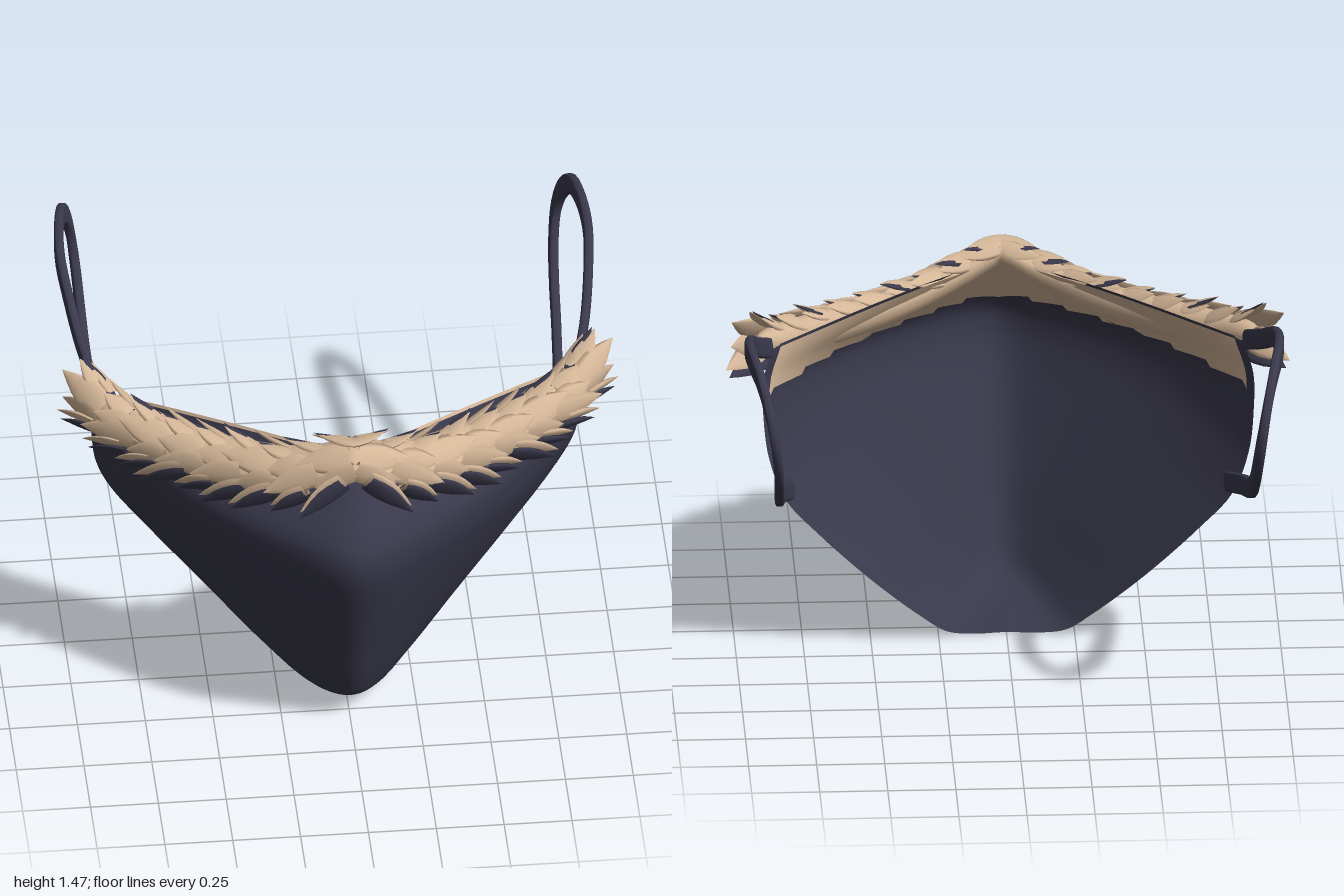
import * as THREE from 'three';
import { mergeGeometries } from 'three/addons/utils/BufferGeometryUtils.js';

const V = (x, y, z) => new THREE.Vector3(x, y, z);
const curve = (pts) => new THREE.CatmullRomCurve3(pts.map((p) => V(...p)));

// Smooth surface from a function of a, b in 0..1
function surface(fn, na, nb) {
  const pos = [], idx = [];
  for (let i = 0; i <= na; i++) {
    for (let j = 0; j <= nb; j++) pos.push(...fn(i / na, j / nb).toArray());
  }
  for (let i = 0; i < na; i++) {
    for (let j = 0; j < nb; j++) {
      const a = i * (nb + 1) + j, b = a + nb + 1;
      idx.push(a, b, a + 1, b, b + 1, a + 1);
    }
  }
  const g = new THREE.BufferGeometry();
  g.setAttribute('position', new THREE.Float32BufferAttribute(pos, 3));
  g.setIndex(idx);
  g.computeVertexNormals();
  return g;
}

// Mask shell: centre ridge and side edge, paired from chin to top
const ridge = curve([[0, 0, 0.19], [0, 0.04, 0.4], [0, 0.1, 0.55], [0, 0.22, 0.625], [0, 0.42, 0.71], [0, 0.66, 0.81],
  [0, 0.84, 0.88], [0, 0.92, 0.895], [0, 1.0, 0.885], [0, 1.13, 0.79], [0, 1.28, 0.655]]);
const edge = curve([[0.01, 0, 0.19], [0.13, 0, 0.18], [0.22, 0.02, 0.16], [0.31, 0.09, 0.13], [0.5, 0.28, 0.04], [0.7, 0.5, -0.03],
  [0.82, 0.65, -0.06], [0.88, 0.8, -0.03], [0.9, 0.95, 0.01], [0.9, 1.08, 0.05], [0.86, 1.2, 0.09]]);

function shellPoint(s, v) {
  const c = ridge.getPoint(v), e = edge.getPoint(v), k = Math.abs(s);
  const r = Math.min(0.6, 0.11 / e.x); // ridge rounding, relative to the row's width
  const h = (Math.sqrt(k * k + r * r) - r) / (Math.sqrt(1 + r * r) - r);
  // the full cheek straightens towards the top edge
  const f = THREE.MathUtils.lerp(0.7 * h + 0.3 * k ** 4, 0.5 * h + 0.5 * k, THREE.MathUtils.smoothstep(v, 0.82, 1));
  return V(e.x * s, c.y + (e.y - c.y) * k * k * (1.6 - 0.6 * k), c.z + (e.z - c.z) * f);
}

// Fur path with a local frame: n points out of the mask, up leans back near the nose
const furPath = curve([[0, 1.3, 0.69], [0.2, 1.22, 0.625], [0.4, 1.175, 0.51], [0.6, 1.165, 0.38], [0.8, 1.175, 0.225], [0.91, 1.215, 0.085]]);
function furFrame(q) {
  const k = Math.abs(q), sgn = q < 0 ? -1 : 1;
  const p = furPath.getPointAt(k), t = furPath.getTangentAt(k);
  const n = V(-t.z * Math.min(1, k * 8), 0, t.x).normalize();
  const up = V(0, 1, 0).addScaledVector(n, -0.65 * (1 - k)).normalize();
  for (const w of [p, t, n, up]) w.x *= sgn;
  return { p, t, n, up };
}

// One flat, curved, pointed lock of fur
function lock(base, dir, out, length, width) {
  const d = dir.clone().normalize();
  const r = out.clone().addScaledVector(d, -out.dot(d)).normalize();
  const side = d.clone().cross(r);
  return surface((a, b) => {
    const w = width * Math.sin(Math.PI * (0.3 + 0.7 * a)), ang = b * Math.PI * 2;
    return base.clone()
      .addScaledVector(d, length * (a - 0.25))
      .addScaledVector(r, 0.015 * a * a + 0.3 * w * Math.sin(ang))
      .addScaledVector(side, w * Math.cos(ang));
  }, 5, 8);
}

// A row of locks around the fur band at the given angle, on both sides
function lockRow(count, angle, length, width, lift, shift, from, to) {
  const list = [];
  for (const sgn of [-1, 1]) {
    for (let i = 0; i < count; i++) {
      const { p, t, n, up } = furFrame(sgn * (from + (to - from) * i / (count - 1)));
      const wob = Math.sin(i * 2.4 + angle * 5);
      const a = angle + 0.12 * wob;
      const out = n.clone().multiplyScalar(Math.cos(a)).addScaledVector(up, Math.sin(a));
      const base = p.clone().addScaledVector(n, 0.065 * Math.cos(a) + shift[0]).addScaledVector(up, 0.075 * Math.sin(a) + shift[1]);
      const dir = t.clone().addScaledVector(up, lift * (1 + 0.3 * wob)).addScaledVector(n, 0.08);
      list.push(lock(base, dir, out, length * (1 + 0.18 * wob), width));
    }
  }
  return list;
}

export function createModel() {
  const model = new THREE.Group();
  const fabric = new THREE.MeshStandardMaterial({ color: 0x3a394c, side: THREE.DoubleSide });
  fabric.name = 'dark fabric';
  const fur = new THREE.MeshStandardMaterial({ color: 0xd4b698, side: THREE.DoubleSide });
  fur.name = 'tan fur';
  const add = (name, geometry, material) => {
    const m = new THREE.Mesh(geometry, material);
    m.name = name;
    model.add(m);
  };

  add('maskShell', surface((a, b) => shellPoint(a * 2 - 1, b), 48, 50), fabric);

  // Flat ear loop on each side, with a squarish section
  const loop = curve([[0.88, 1.2, 0.08], [0.928, 1.28, -0.1], [0.96, 1.375, -0.3], [0.972, 1.42, -0.45], [0.963, 1.435, -0.6],
    [0.942, 1.415, -0.73], [0.915, 1.33, -0.82], [0.893, 1.21, -0.855], [0.88, 1.09, -0.81], [0.873, 0.98, -0.71],
    [0.867, 0.885, -0.56], [0.847, 0.785, -0.3], [0.805, 0.685, -0.04]]);
  const square = (x) => Math.sign(x) * Math.sqrt(Math.abs(x));
  for (const sgn of [1, -1]) {
    add(sgn > 0 ? 'leftEarLoop' : 'rightEarLoop', surface((a, b) => {
      const p = loop.getPointAt(a), t = loop.getTangentAt(a), ang = b * Math.PI * 2;
      p.addScaledVector(V(0, -t.z, t.y).normalize(), 0.038 * square(Math.cos(ang)));
      p.x = (p.x + 0.018 * square(Math.sin(ang))) * sgn;
      return p;
    }, 64, 16), fabric);
  }

  // Rounded fur band along the top edge
  add('furBand', surface((a, b) => {
    const q = a * 2 - 1, ang = b * Math.PI * 2;
    const { p, n, up } = furFrame(q);
    const r = Math.sqrt(1 - 0.85 * Math.pow(Math.abs(q), 8));
    return p.addScaledVector(n, 0.07 * r * Math.cos(ang))
      .addScaledVector(up, (0.065 + 0.015 * Math.min(1, Math.abs(q) * 4)) * r * Math.sin(ang));
  }, 60, 14), fur);

  // Flat fur lining inside the mask with a jagged lower edge
  add('furLining', surface((a, b) => {
    const q = a * 2 - 1, saw = (Math.abs(q) * 7) % 1;
    const low = 0.85 + 0.022 * saw;
    return shellPoint(q * 0.985, low + (1 - low) * b).addScaledVector(furFrame(q).n, -0.018);
  }, 112, 5), fur);

  // Layered locks, sweeping outward from the nose
  add('furLocks', mergeGeometries([
    ...lockRow(9, 1.9, 0.15, 0.035, 0.25, [0, 0], 0.05, 0.94),
    ...lockRow(9, 1.3, 0.15, 0.042, 0.32, [0, 0], 0.02, 0.95),
    ...lockRow(8, 0.55, 0.19, 0.055, 0.12, [0, 0], 0.06, 0.94),
    ...lockRow(8, -0.1, 0.19, 0.055, -0.12, [0, 0], 0.03, 0.94),
    ...lockRow(9, -0.85, 0.18, 0.05, -0.3, [0.015, 0], 0.07, 0.95),
  ]), fur);

  // Dark under-locks showing as a thin edge beneath and behind the tips
  add('underLocks', mergeGeometries([
    ...lockRow(9, -0.9, 0.185, 0.05, -0.3, [0.008, -0.024], 0.07, 0.93),
    ...lockRow(9, 1.3, 0.165, 0.03, 0.34, [-0.012, -0.002], 0.025, 0.94),
  ]), fabric);

  return model;
}
